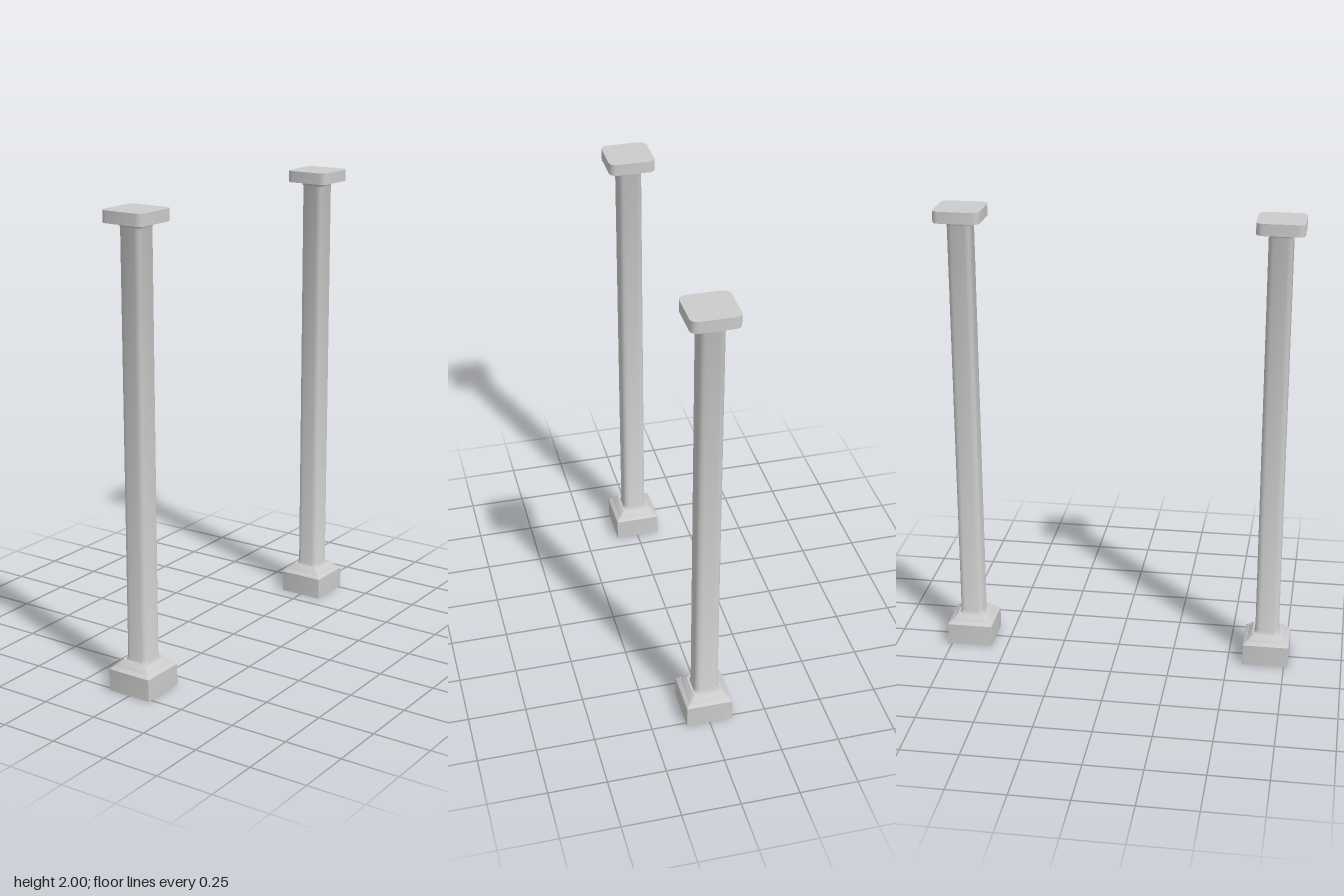
import * as THREE from 'three';
import { toCreasedNormals } from 'three/addons/utils/BufferGeometryUtils.js';

const material = new THREE.MeshStandardMaterial({ color: 0xcccccc });
const CORNER_STEPS = 4;

// Outline of a square with rounded corners, as [x, z] points
function roundedSquare(half, radius) {
  const points = [];
  for (let corner = 0; corner < 4; corner++) {
    const start = corner * Math.PI / 2;
    const mid = start + Math.PI / 4;
    const cx = Math.sign(Math.cos(mid)) * (half - radius);
    const cz = Math.sign(Math.sin(mid)) * (half - radius);
    for (let i = 0; i <= CORNER_STEPS; i++) {
      const a = start + (i / CORNER_STEPS) * Math.PI / 2;
      points.push([cx + radius * Math.cos(a), cz + radius * Math.sin(a)]);
    }
  }
  return points;
}

// Closed solid through levels of [y, half width, corner radius], bottom to top
function loft(name, levels) {
  const positions = [], indices = [];
  const n = 4 * (CORNER_STEPS + 1);
  for (const [y, half, radius] of levels) {
    for (const [x, z] of roundedSquare(half, radius)) positions.push(x, y, z);
  }
  for (let l = 0; l < levels.length - 1; l++) {
    for (let i = 0; i < n; i++) {
      const a = l * n + i, b = l * n + (i + 1) % n;
      indices.push(a, a + n, b, b, a + n, b + n);
    }
  }
  const top = (levels.length - 1) * n;
  for (let i = 1; i < n - 1; i++) {
    indices.push(0, i, i + 1);
    indices.push(top, top + i + 1, top + i);
  }
  const geometry = new THREE.BufferGeometry();
  geometry.setAttribute('position', new THREE.Float32BufferAttribute(positions, 3));
  geometry.setIndex(indices);
  const mesh = new THREE.Mesh(toCreasedNormals(geometry, 0.55), material);
  mesh.name = name;
  return mesh;
}

function createColumn(name) {
  const column = new THREE.Group();
  column.name = name;

  // Square plinth with bevelled top edge
  column.add(loft('plinth', [[0, 0.1, 0.001], [0.095, 0.1, 0.001], [0.108, 0.086, 0.002]]));

  // Sloped moulding between plinth and shaft
  column.add(loft('baseMoulding', [
    [0.107, 0.085, 0.008], [0.113, 0.082, 0.01], [0.128, 0.068, 0.015], [0.134, 0.063, 0.018],
  ]));

  // Shaft with softened corners, flaring slightly at both ends
  column.add(loft('shaft', [
    [0.133, 0.056, 0.024], [0.145, 0.051, 0.023],
    [1.93, 0.051, 0.023], [1.942, 0.056, 0.025], [1.951, 0.065, 0.028],
  ]));

  // Flat capital slab
  column.add(loft('capital', [[1.95, 0.1, 0.03], [2, 0.1, 0.03]]));
  return column;
}

export function createModel() {
  const model = new THREE.Group();
  model.name = 'columnPair';
  for (const [name, z] of [['frontColumn', 0.667], ['backColumn', -0.667]]) {
    const column = createColumn(name);
    column.position.z = z;
    model.add(column);
  }
  return model;
}
